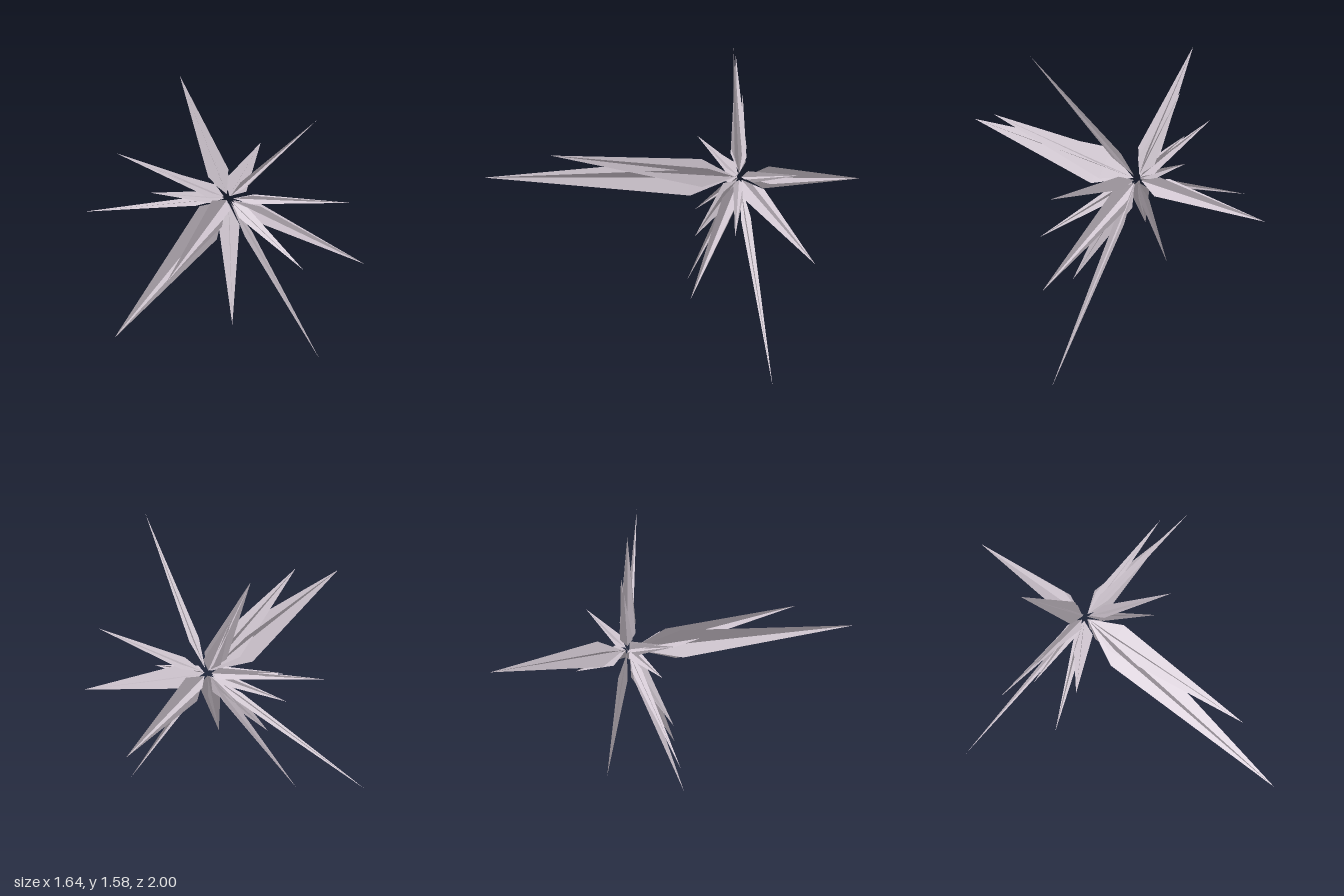
import * as THREE from 'three';

const CENTRE = new THREE.Vector3(0.08, 0.92, -0.29);

// Spike tips (x, y, z) and the half width at the widest point
const SPIKES = [
  [0.08, 0.96, 1.0, 0.1],
  [0.18, 1.07, 0.69, 0.075],
  [0.0, 0.88, -1.0, 0.067],
  [0.82, 0.62, -0.42, 0.06],
  [0.72, 1.01, -0.37, 0.032],
  [0.57, 0.71, -0.12, 0.035],
  [0.58, 1.58, -0.1, 0.026],
  [-0.23, 1.54, -0.36, 0.057],
  [-0.13, 1.33, -0.37, 0.045],
  [-0.55, 1.08, -0.23, 0.032],
  [-0.33, 1.04, -0.24, 0.042],
  [-0.35, 0.88, -0.23, 0.034],
  [-0.82, 0.6, -0.285, 0.024],
  [-0.35, 0.28, -0.12, 0.03],
  [-0.17, 0.57, -0.12, 0.052],
  [0.24, 0.33, 0.01, 0.056],
  [0.66, 0.0, -0.285, 0.026],
];

// One flat kite blade along +y, widest about a fifth of the way out
function bladeGeometry(length, radius) {
  const shape = new THREE.Shape();
  shape.moveTo(0, 0.025);
  shape.lineTo(radius, length * 0.21);
  shape.lineTo(0, length);
  shape.lineTo(-radius, length * 0.21);
  shape.closePath();
  return new THREE.ShapeGeometry(shape);
}

export function createModel() {
  const model = new THREE.Group();
  model.name = 'starburst';
  const crystal = new THREE.MeshStandardMaterial({ color: 0xd0c6d0, side: THREE.DoubleSide });
  crystal.name = 'pale mauve';

  SPIKES.forEach(([x, y, z, radius], i) => {
    const dir = new THREE.Vector3(x, y, z).sub(CENTRE);
    const length = dir.length();
    const geometry = bladeGeometry(length, radius);

    // Each spike is two blades crossing at right angles
    const spike = new THREE.Group();
    spike.name = `spike${i + 1}`;
    for (let k = 0; k < 2; k++) {
      const blade = new THREE.Mesh(geometry, crystal);
      blade.name = 'blade';
      blade.rotation.y = Math.PI / 6 + k * Math.PI / 2;
      spike.add(blade);
    }
    spike.position.copy(CENTRE);
    spike.quaternion.setFromUnitVectors(new THREE.Vector3(0, 1, 0), dir.normalize());
    model.add(spike);
  });
  return model;
}
